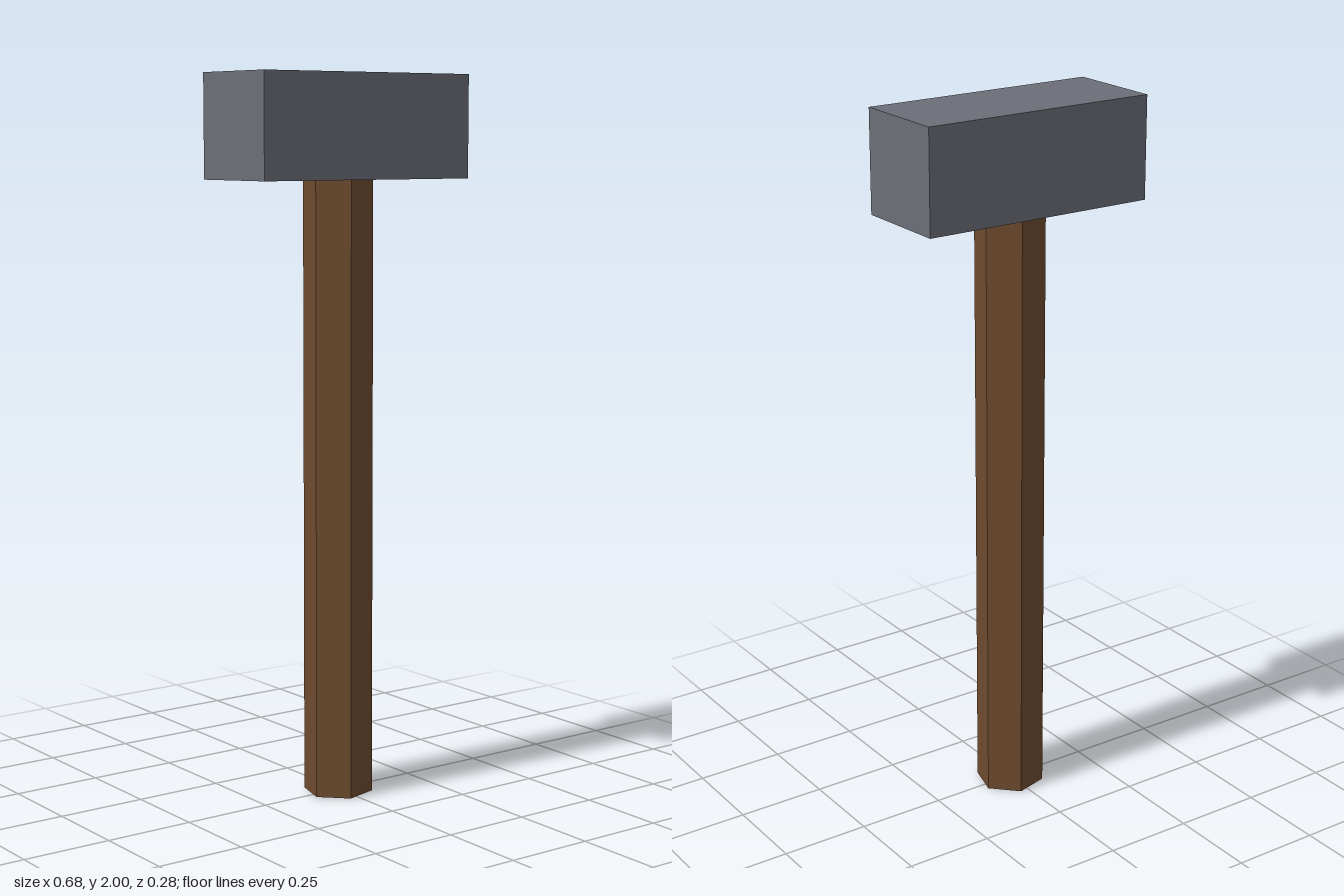
import * as THREE from 'three';

export function createModel() {
  const model = new THREE.Group();
  model.name = 'hammer';

  const wood = new THREE.MeshStandardMaterial({ color: 0x6e4b2f, flatShading: true });
  wood.name = 'brown wood';
  const metal = new THREE.MeshStandardMaterial({ color: 0x6b6e76, flatShading: true });
  metal.name = 'grey metal';

  const headHeight = 0.284;
  const handleHeight = 2 - headHeight;

  // Six-sided handle, turned so one corner sits halfway between +x and +z
  const handle = new THREE.Mesh(
    new THREE.CylinderGeometry(0.0965, 0.0965, handleHeight, 6, 1, false, Math.PI / 4),
    wood
  );
  handle.name = 'handle';
  handle.position.y = handleHeight / 2;
  model.add(handle);

  // Block head resting on the handle
  const head = new THREE.Mesh(new THREE.BoxGeometry(0.683, headHeight, 0.284), metal);
  head.name = 'head';
  head.position.y = 2 - headHeight / 2;
  model.add(head);

  return model;
}
